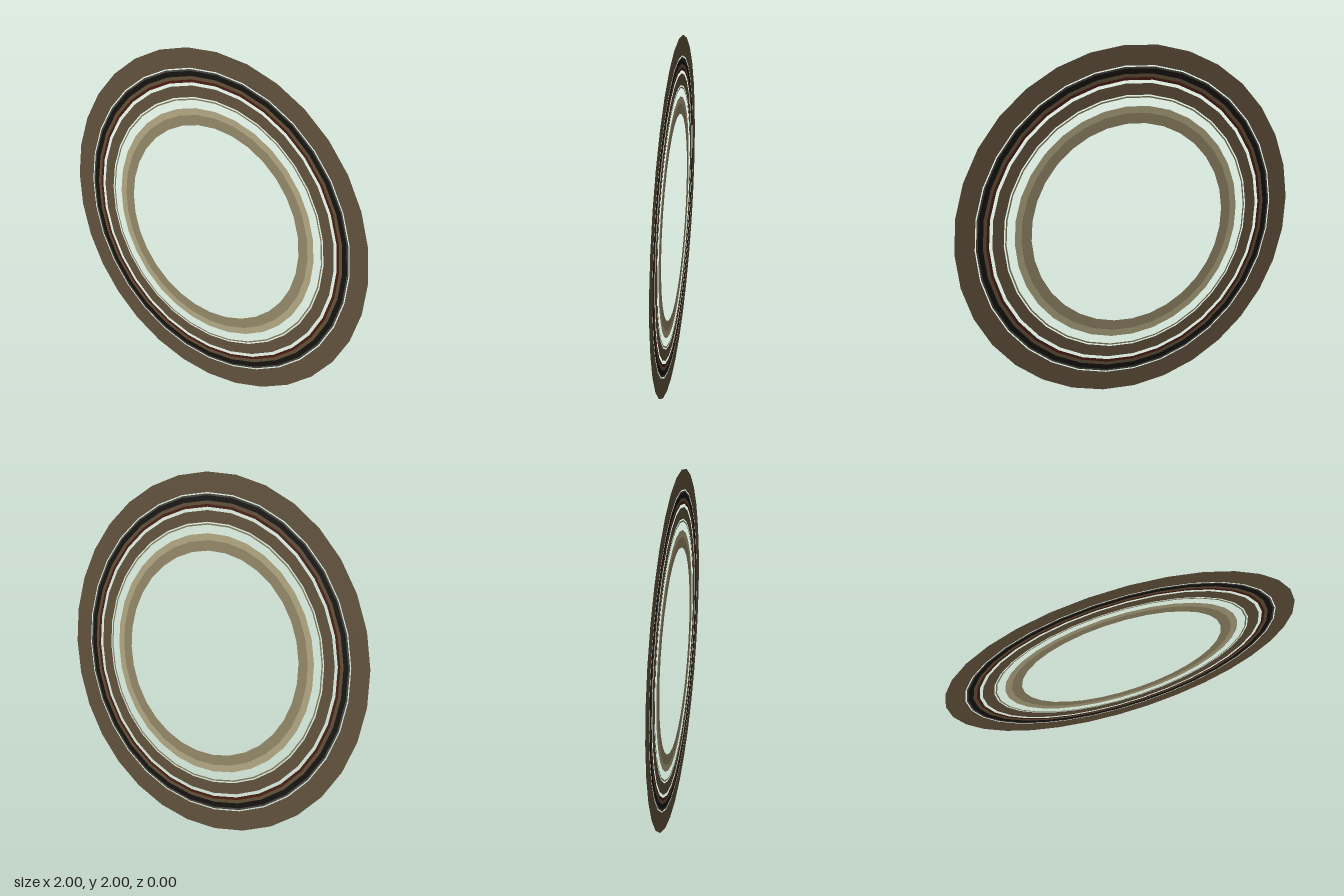
import * as THREE from 'three';

const SIDES = 32;
const TURN = THREE.MathUtils.degToRad(-1.6); // slight turn of the polygon corners

// name, inner radius, outer radius, colour
const BANDS = [
  ['outerBand', 0.89, 1.0, 0x62523c],
  ['greyTrim', 0.873, 0.883, 0x4a4640],
  ['blackBand', 0.845, 0.873, 0x14130f],
  ['brownStripe', 0.826, 0.845, 0x625038],
  ['redStripe', 0.811, 0.826, 0x4a1c12],
  ['middleBand', 0.73, 0.793, 0x62523c],
  ['thinHoop', 0.714, 0.722, 0x8a8060],
  ['paleInnerBand', 0.63, 0.668, 0xb2a882],
  ['darkInnerBand', 0.573, 0.63, 0x948868],
];

// One flat ring, visible from both faces
function makeBand([name, inner, outer, color]) {
  const geometry = new THREE.RingGeometry(inner, outer, SIDES, 1, TURN);
  const material = new THREE.MeshStandardMaterial({ color, side: THREE.DoubleSide });
  const mesh = new THREE.Mesh(geometry, material);
  mesh.name = name;
  mesh.position.y = 1;
  return mesh;
}

export function createModel() {
  const group = new THREE.Group();
  group.name = 'concentricRings';
  for (const band of BANDS) group.add(makeBand(band));
  return group;
}
